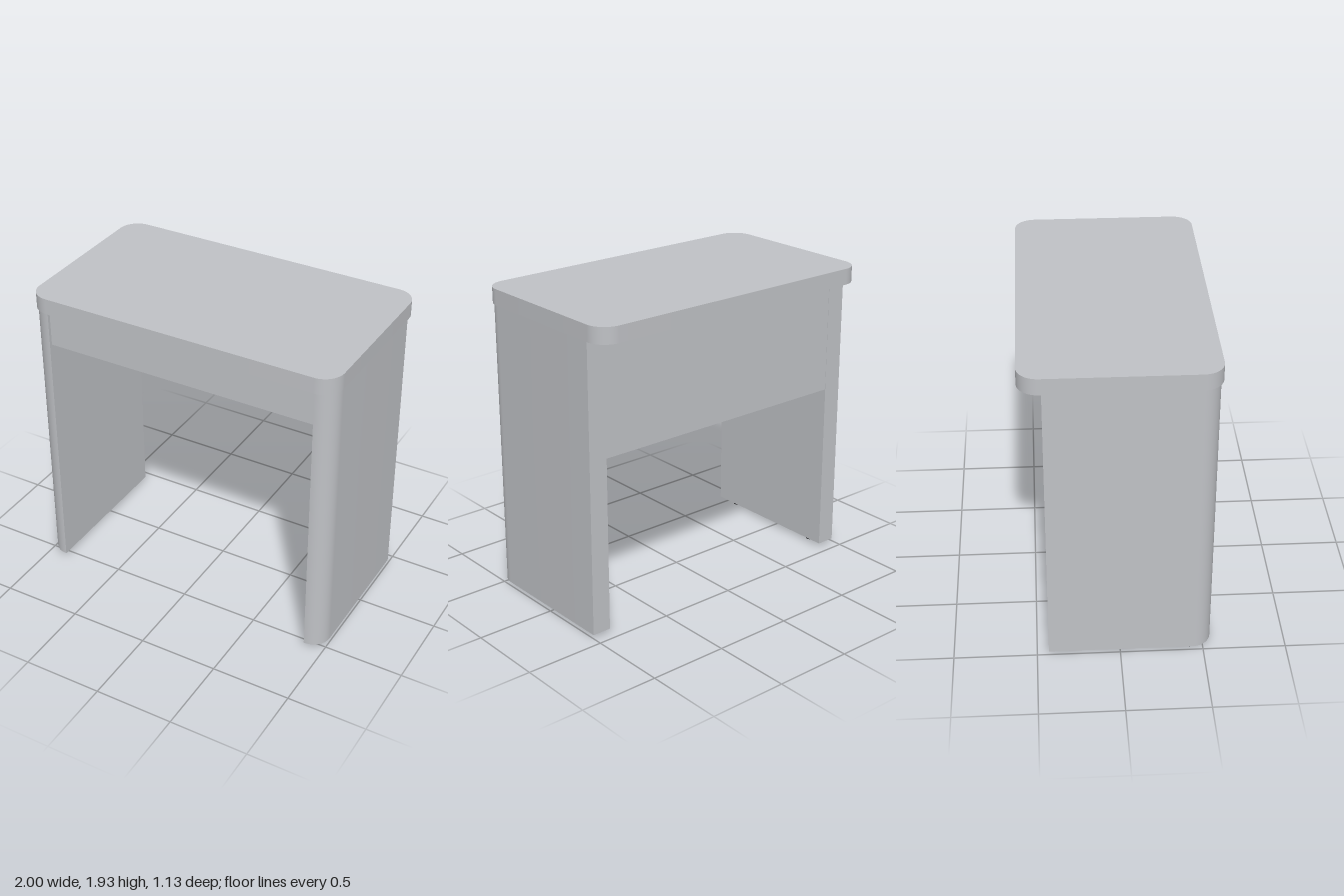
import * as THREE from 'three';

const grey = new THREE.MeshStandardMaterial({ color: 0xc0c2c6 });
grey.name = 'grey laminate';
const black = new THREE.MeshStandardMaterial({ color: 0x1c1d1f });
black.name = 'black rubber';

// Box given by its minimum and maximum corners
function box(name, min, max) {
  const size = max.map((v, i) => v - min[i]);
  const mesh = new THREE.Mesh(new THREE.BoxGeometry(...size), grey);
  mesh.position.set(...min.map((v, i) => v + size[i] / 2));
  mesh.name = name;
  return mesh;
}

// Slab with a plan outline (x, -z) raised from y0 to y1
function slab(name, shape, y0, y1) {
  const geometry = new THREE.ExtrudeGeometry(shape, { depth: y1 - y0, bevelEnabled: false, curveSegments: 16 });
  geometry.rotateX(-Math.PI / 2);
  // smooth normals around the outline, sharp top and bottom edges
  const smooth = toSmoothWalls(geometry);
  const mesh = new THREE.Mesh(smooth, grey);
  mesh.position.y = y0;
  mesh.name = name;
  return mesh;
}

// Average the wall normals where neighbouring walls meet at a shallow angle
function toSmoothWalls(geometry) {
  const g = geometry.index ? geometry.toNonIndexed() : geometry;
  const p = g.attributes.position, n = g.attributes.normal, groups = new Map();
  const key = (i) => `${p.getX(i).toFixed(4)},${p.getZ(i).toFixed(4)}`;
  const normals = [];
  for (let i = 0; i < p.count; i++) {
    normals.push(new THREE.Vector3().fromBufferAttribute(n, i));
    if (Math.abs(normals[i].y) > 0.5) continue;
    if (!groups.has(key(i))) groups.set(key(i), []);
    groups.get(key(i)).push(i);
  }
  for (const ids of groups.values()) {
    for (const i of ids) {
      const sum = new THREE.Vector3();
      for (const j of ids) if (normals[i].dot(normals[j]) > 0.8) sum.add(normals[j]);
      sum.normalize();
      n.setXYZ(i, sum.x, sum.y, sum.z);
    }
  }
  return g;
}

// Table top outline with four rounded corners
function topShape(w, d, r) {
  const s = new THREE.Shape();
  s.absarc(w - r, d - r, r, 0, Math.PI / 2);
  s.absarc(-w + r, d - r, r, Math.PI / 2, Math.PI);
  s.absarc(-w + r, -d + r, r, Math.PI, Math.PI * 1.5);
  s.absarc(w - r, -d + r, r, Math.PI * 1.5, Math.PI * 2);
  s.closePath();
  return s;
}

// Side panel outline with its outer front corner rounded
function sideShape(side) {
  const inner = 0.875, outer = 0.995, front = -0.55, back = 0.43, r = 0.115;
  const s = new THREE.Shape();
  s.moveTo(side * inner, back);
  s.lineTo(side * inner, front);
  s.lineTo(side * (outer - r), front);
  for (let i = 1; i <= 14; i++) {
    const a = (i / 14) * Math.PI / 2;
    s.lineTo(side * (outer - r + r * Math.sin(a)), front + r - r * Math.cos(a));
  }
  s.lineTo(side * outer, back);
  s.closePath();
  return s;
}

export function createModel() {
  const model = new THREE.Group();
  model.name = 'desk';
  model.add(slab('tableTop', topShape(1, 0.565, 0.125), 1.83, 1.93));

  // Side panels and their feet
  for (const side of [1, -1]) {
    const label = side > 0 ? 'left' : 'right';
    model.add(slab(label + 'SidePanel', sideShape(side), 0.02, 1.83));
    for (const [end, z] of [['Front', 0.42], ['Back', -0.3]]) {
      const foot = new THREE.Mesh(new THREE.CylinderGeometry(0.038, 0.038, 0.024, 24), black);
      foot.position.set(side * 0.935, 0.012, z);
      foot.name = label + end + 'Foot';
      model.add(foot);
    }
  }

  // Back panel
  model.add(box('backPanel', [-0.875, 1.11, -0.428], [0.875, 1.83, -0.37]));

  // Drawer front and the box behind it
  model.add(box('drawerFront', [-0.87, 1.61, 0.475], [0.87, 1.818, 0.537]));
  model.add(box('drawerBox', [-0.875, 1.614, -0.37], [0.875, 1.8, 0.47]));
  return model;
}
